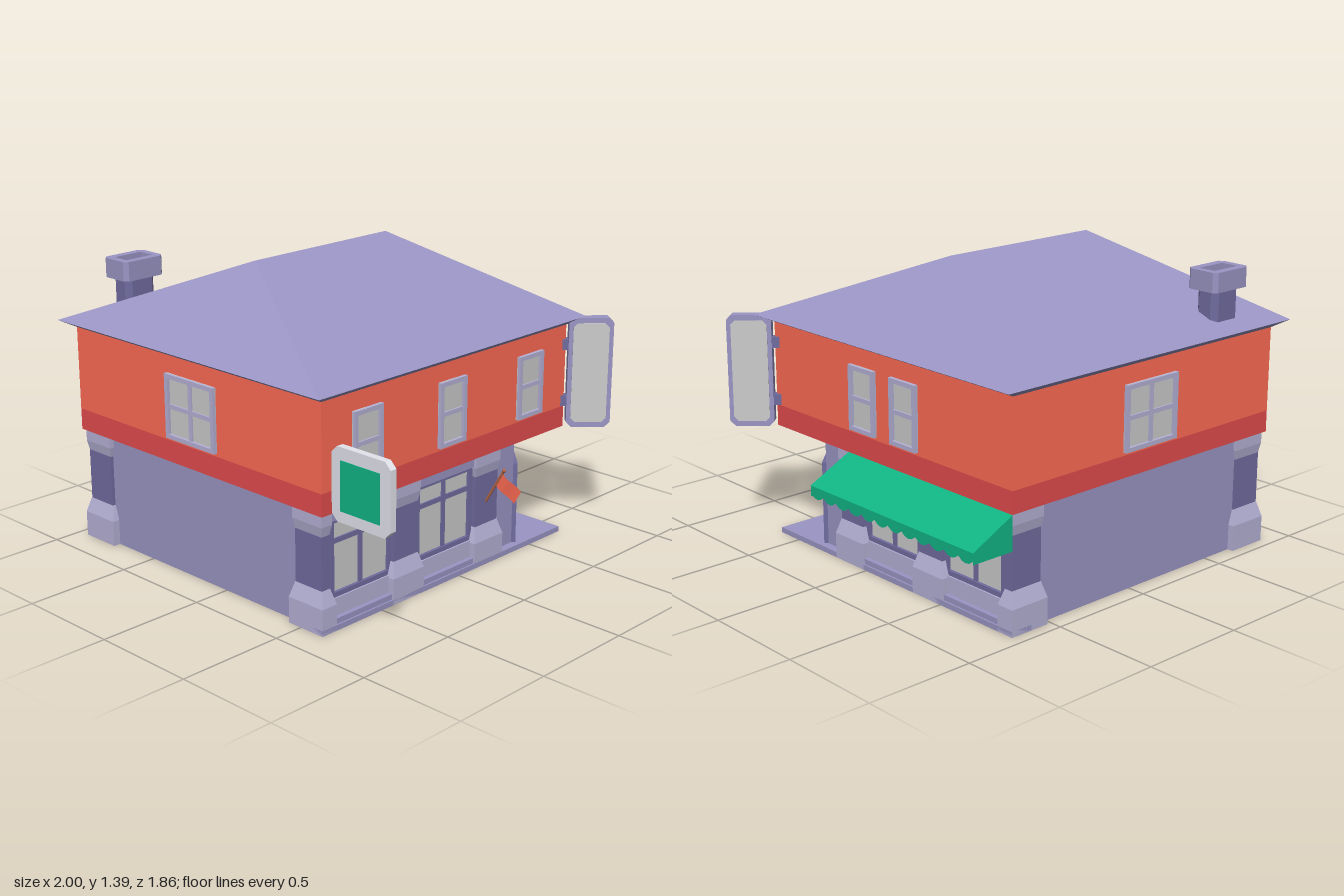
import * as THREE from 'three';

const mat = (color) => new THREE.MeshStandardMaterial({ color, flatShading: true, side: THREE.DoubleSide });
const LILAC = mat(0x9a95c4), LIGHT = mat(0xb5b1d6), DARK = mat(0x716ca0), GLASS = mat(0xcccccc);
const RED = mat(0xff6b54), DEEPRED = mat(0xe34c4e), GREEN = mat(0x11b585), WOOD = mat(0xb86a4a), BOARD = mat(0xe4e4ee);
const SOOT = mat(0x45454c);

function add(parent, name, geo, material, x = 0, y = 0, z = 0) {
  const m = new THREE.Mesh(geo, material);
  m.name = name;
  m.position.set(x, y, z);
  parent.add(m);
  return m;
}
function group(parent, name, x = 0, y = 0, z = 0, ry = 0) {
  const g = new THREE.Group();
  g.name = name;
  g.position.set(x, y, z);
  g.rotation.y = ry;
  parent.add(g);
  return g;
}
// Box given by its limits
function box(parent, name, material, x0, x1, y0, y1, z0, z1) {
  return add(parent, name, new THREE.BoxGeometry(x1 - x0, y1 - y0, z1 - z0), material,
    (x0 + x1) / 2, (y0 + y1) / 2, (z0 + z1) / 2);
}
// Box whose top is inset (or outset, when negative) on every side
function taper(parent, name, material, w, d, y0, y1, inset) {
  const g = new THREE.BoxGeometry(w, y1 - y0, d), p = g.attributes.position;
  for (let i = 0; i < p.count; i++) if (p.getY(i) > 0) {
    p.setX(i, p.getX(i) - Math.sign(p.getX(i)) * inset);
    p.setZ(i, p.getZ(i) - Math.sign(p.getZ(i)) * inset);
  }
  g.computeVertexNormals();
  return add(parent, name, g, material, 0, (y0 + y1) / 2, 0);
}
// Rectangle with cut corners
function cutRect(w, h, c) {
  const a = w / 2, b = h / 2;
  return new THREE.Shape([[-a + c, -b], [a - c, -b], [a, -b + c], [a, b - c], [a - c, b], [-a + c, b], [-a, b - c], [-a, -b + c]]
    .map(([x, y]) => new THREE.Vector2(x, y)));
}
const extrude = (shape, depth) => new THREE.ExtrudeGeometry(shape, { depth, bevelEnabled: false });
const upright = (shape, h) => extrude(shape, h).rotateX(-Math.PI / 2);

function pillar(parent, x, z, w, d) {
  const g = group(parent, 'pillar', x, 0, z);
  taper(g, 'pillarBase', LIGHT, w, d, 0, 0.12, 0);
  taper(g, 'pillarBaseSlope', LIGHT, w, d, 0.12, 0.19, 0.02);
  taper(g, 'pillarShaft', DARK, w - 0.045, d - 0.04, 0.18, 0.44, 0);
  taper(g, 'pillarCapSlope', LIGHT, w - 0.045, d - 0.04, 0.43, 0.475, -0.008);
  taper(g, 'pillarCap', LIGHT, w - 0.028, d - 0.024, 0.475, 0.53, 0);
}

// Framed window facing local +z, standing on local y = 0
function windowUnit(parent, name, x, y, z, ry, w, h, cols, transom, t, frame) {
  const g = group(parent, name, x, y, z, ry);
  box(g, 'glass', GLASS, -w / 2, w / 2, 0, h, -0.01, 0.004);
  for (let i = 0; i <= cols; i++) {
    const c = -w / 2 + t / 2 + (i / cols) * (w - t), edge = i % cols === 0;
    box(g, 'upright', frame, c - t / 2, c + t / 2, 0, h, -0.01, edge ? 0.018 : 0.012);
  }
  for (const c of [t / 2, transom, h - t / 2])
    box(g, 'rail', frame, -w / 2, w / 2, c - t / 2, c + t / 2, -0.01, c === transom ? 0.012 : 0.018);
}

// Shop front with two bays; s is the direction it runs in local x
function shopFront(parent, x, z, ry, s) {
  const g = group(parent, 'shopFront', x, 0, z, ry);
  const span = (name, m, u0, u1, y0, y1, z0, z1) =>
    box(g, name, m, Math.min(s * u0, s * u1), Math.max(s * u0, s * u1), y0, y1, z0, z1);
  span('backWall', DARK, 0.04, 1.08, 0.02, 0.53, -0.09, -0.06);
  span('cornice', LILAC, 0.06, 1.06, 0.48, 0.53, -0.07, -0.025);
  for (const u of [0.27, 0.795]) {
    span('parapet', LIGHT, u - 0.19, u + 0.19, 0, 0.13, -0.07, -0.03);
    span('parapetFoot', LILAC, u - 0.19, u + 0.19, 0, 0.05, -0.03, -0.008);
    windowUnit(g, 'shopWindow', s * u, 0.13, -0.055, 0, 0.37, 0.355, 2, 0.25, 0.022, DARK);
  }
  for (const u of [0.525, 1.06]) pillar(g, s * u, -0.055, 0.195, 0.11);
}

function hipRoof() {
  const eave = [[-1, 1.055, 0.925], [0.685, 1.055, 0.925], [0.685, 1.055, -0.795], [-1, 1.055, -0.795]];
  const wall = [[-0.945, 1.02, 0.86], [0.63, 1.02, 0.86], [0.63, 1.02, -0.72], [-0.945, 1.02, -0.72]];
  const F = [-0.155, 1.395, 0.48], B = [-0.155, 1.395, -0.345], tris = [];
  const top = [[F], [B, F], [B], [F, B]];
  eave.forEach((a, i) => {
    const j = (i + 1) % 4, b = eave[j], t = top[i];
    tris.push(a, b, t[0]);
    if (t[1]) tris.push(a, t[0], t[1]);
    tris.push(wall[i], wall[j], b, wall[i], b, a);
  });
  const g = new THREE.BufferGeometry();
  g.setAttribute('position', new THREE.Float32BufferAttribute(tris.flat(), 3));
  g.computeVertexNormals();
  return g;
}

export function createModel() {
  const model = new THREE.Group();
  model.name = 'cornerShop';

  // Ground floor: plain walls on two sides, shop fronts on the others
  box(model, 'frontWall', LILAC, -0.92, 0.58, 0, 0.53, 0.8, 0.825);
  box(model, 'leftWall', LILAC, -0.915, -0.89, 0, 0.53, -0.68, 0.82);
  pillar(model, -0.845, 0.76, 0.2, 0.2);
  pillar(model, 0.53, 0.8175, 0.2, 0.085);
  pillar(model, -0.9025, -0.62, 0.085, 0.2);
  shopFront(model, 0.63, 0.86, Math.PI / 2, 1);
  shopFront(model, -0.945, -0.72, Math.PI, -1);

  // Floor strip under the shop fronts, widening at the corner entrance
  const floor = new THREE.Shape([[0.63, -0.86], [0.63, 0.72], [-0.945, 0.72], [-0.945, 0.61], [0.04, 0.61], [0.1, 0.5],
    [0.2, 0.5], [0.41, 0.29], [0.41, 0.18], [0.52, 0.12], [0.52, -0.86]].map(([x, y]) => new THREE.Vector2(x, y)));
  add(model, 'floorStrip', upright(floor, 0.025), LILAC);

  // Corner entrance with double door
  box(model, 'entranceSideWall', LILAC, 0.56, 0.59, 0.02, 0.53, -0.415, -0.25);
  box(model, 'entranceBackWall', LILAC, 0.16, 0.325, 0.02, 0.53, -0.68, -0.65);
  const door = group(model, 'entrance', 0.455, 0, -0.545, Math.PI * 0.75);
  box(door, 'entranceWall', LILAC, -0.191, 0.191, 0.02, 0.53, -0.03, 0);
  for (const x of [-0.175, 0.175]) box(door, 'doorPost', DARK, x - 0.014, x + 0.014, 0.025, 0.41, 0, 0.022);
  box(door, 'doorLintel', DARK, -0.189, 0.189, 0.39, 0.415, 0, 0.022);
  for (const x of [-0.08, 0.08]) {
    windowUnit(door, 'doorLeaf', x, 0.025, 0.005, 0, 0.158, 0.365, 1, 0.24, 0.02, LILAC);
    box(door, 'doorHandle', DARK, x * 0.3 - 0.005, x * 0.3 + 0.005, 0.16, 0.22, 0.02, 0.035);
  }

  // Upper floor
  box(model, 'upperBand', DEEPRED, -0.945, 0.63, 0.53, 0.63, -0.72, 0.86);
  box(model, 'upperWalls', RED, -0.945, 0.63, 0.63, 1.03, -0.72, 0.86);
  const upper = (x, z, ry, w, cols) => windowUnit(model, 'upperWindow', x, 0.645, z, ry, w, 0.295, cols, 0.148, 0.02, LIGHT);
  upper(-0.158, 0.86, 0, 0.315, 2);
  upper(-0.945, 0.07, -Math.PI / 2, 0.315, 2);
  for (const z of [0.6, 0.075, -0.455]) upper(0.63, z, Math.PI / 2, 0.17, 1);
  for (const x of [-0.01, -0.285]) upper(x, -0.72, Math.PI, 0.17, 1);

  // Roof and chimney
  add(model, 'roof', hipRoof(), LILAC);
  const chimney = group(model, 'chimney', -0.852, 0, 0.592);
  add(chimney, 'chimneyShaft', upright(cutRect(0.115, 0.165, 0.025), 0.18), DARK, 0, 1.06, 0);
  const cap = cutRect(0.162, 0.222, 0.018);
  cap.holes.push(new THREE.Path([[-0.042, -0.075], [-0.042, 0.075], [0.042, 0.075], [0.042, -0.075]].map(([x, y]) => new THREE.Vector2(x, y))));
  add(chimney, 'chimneyCap', upright(cap, 0.09), LILAC, 0, 1.23, 0);
  box(chimney, 'chimneyFlue', SOOT, -0.042, 0.042, 1.232, 1.245, -0.075, 0.075);

  // Awning: slope, closed ends, scalloped hem
  const awning = group(model, 'awning');
  const end = new THREE.Shape([[0.72, 0.53], [0.93, 0.425], [0.93, 0.375], [0.72, 0.375]].map(([x, y]) => new THREE.Vector2(x, y)));
  for (const x of [-0.945, 0.105]) add(awning, 'awningEnd', new THREE.ShapeGeometry(end).rotateY(Math.PI / 2), GREEN, x, 0, 0);
  const slope = add(awning, 'awningSlope', new THREE.PlaneGeometry(1.05, Math.hypot(0.21, 0.105)), GREEN, -0.42, 0.4775, -0.825);
  slope.rotation.set(Math.PI / 2 - Math.atan2(0.105, 0.21), 0, 0);
  slope.rotation.x = -Math.atan2(0.21, 0.105);
  slope.rotation.y = Math.PI;
  slope.rotation.order = 'YXZ';
  const hem = new THREE.Shape(), n = 12, step = 1.05 / n;
  hem.moveTo(-0.945, 0.425).lineTo(-0.945, 0.39);
  for (let i = 0; i < n; i++) {
    const x = -0.945 + i * step;
    hem.quadraticCurveTo(x + step / 2, 0.35, x + step, 0.39);
  }
  hem.lineTo(0.105, 0.425);
  add(awning, 'awningHem', new THREE.ShapeGeometry(hem, 4), GREEN, 0, 0, -0.93);

  // Hanging square sign
  const sign = group(model, 'squareSign', 0.84, 0.695, 0.82);
  add(sign, 'signBoard', extrude(cutRect(0.32, 0.32, 0.03), 0.033), BOARD);
  box(sign, 'signPanel', GREEN, -0.11, 0.105, -0.11, 0.105, 0.03, 0.037);
  box(sign, 'signArm', LILAC, -0.215, 0, -0.02, 0.02, -0.06, -0.03);
  add(sign, 'signMount', upright(cutRect(0.095, 0.075, 0.025), 0.05), LILAC, 0, -0.025, -0.035);

  // Tall diagonal sign on the corner
  const tall = group(model, 'cornerSign', 0.708, 0.793, -0.803, Math.PI / 4);
  add(tall, 'cornerBoard', extrude(cutRect(0.205, 0.525, 0.025), 0.046), LILAC, 0, 0, -0.023);
  for (const s of [-1, 1])
    add(tall, 'cornerPanel', extrude(cutRect(0.165, 0.475, 0.02), 0.004), GLASS, 0, 0, s * 0.025 - 0.002);
  for (const y of [-0.135, 0.135]) box(tall, 'cornerBracket', DARK, -0.14, -0.09, y - 0.025, y + 0.025, -0.02, 0.02);

  // Small flag on a slanted pole
  const flag = group(model, 'flag', 0.605, 0.29, -0.2);
  flag.rotation.z = -Math.atan2(0.105, 0.18);
  add(flag, 'flagPole', new THREE.CylinderGeometry(0.006, 0.006, 0.2, 6), WOOD, 0, 0.1, 0);
  add(flag, 'flagKnob', new THREE.SphereGeometry(0.01, 6, 4), WOOD, 0, 0.205, 0);
  const cloth = new THREE.PlaneGeometry(0.12, 0.075, 6, 1), p = cloth.attributes.position;
  for (let i = 0; i < p.count; i++) p.setZ(i, 0.006 * Math.sin((p.getX(i) + 0.06) * 50));
  cloth.computeVertexNormals();
  add(flag, 'flagCloth', cloth, RED, 0.063, 0.15, 0);

  return model;
}
